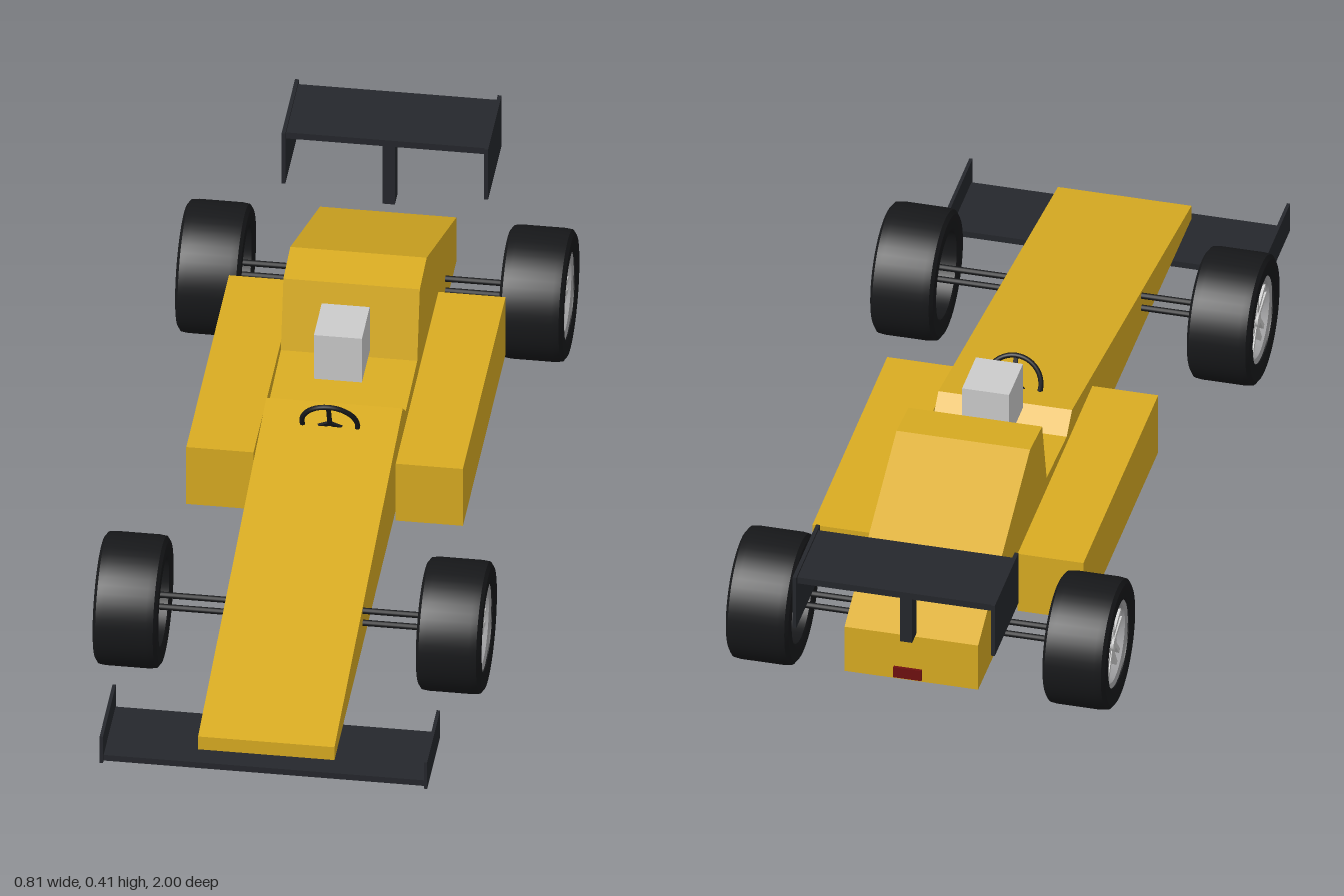
import * as THREE from 'three';
import { toCreasedNormals } from 'three/addons/utils/BufferGeometryUtils.js';

const mat = (color) => new THREE.MeshStandardMaterial({ color });

export function createModel() {
  const model = new THREE.Group();
  const yellow = mat(0xd9ac22), black = mat(0x17181a), wing = mat(0x25272c);
  const grey = mat(0xcccccc), red = mat(0x6e1010), rimGrey = mat(0xa4a4a6);

  const add = (parent, name, geometry, material, x = 0, y = 0, z = 0) => {
    const mesh = new THREE.Mesh(geometry, material);
    mesh.name = name;
    mesh.position.set(x, y, z);
    parent.add(mesh);
    return mesh;
  };
  // Box given by its limits on each axis
  const block = (name, material, [x0, x1], [y0, y1], [z0, z1]) =>
    add(model, name, new THREE.BoxGeometry(x1 - x0, y1 - y0, z1 - z0), material,
      (x0 + x1) / 2, (y0 + y1) / 2, (z0 + z1) / 2);

  // Body: side profile as [z, y], extruded across the width
  const profile = [[0.957, 0.07], [0.957, 0.102], [-0.055, 0.262], [-0.1, 0.225], [-0.27, 0.235],
    [-0.308, 0.388], [-0.41, 0.398], [-0.85, 0.2], [-0.85, 0.09], [-0.115, 0.08]];
  const shape = new THREE.Shape(profile.map(([z, y]) => new THREE.Vector2(z, y)));
  const bodyGeo = new THREE.ExtrudeGeometry(shape, { depth: 0.284, bevelEnabled: false });
  bodyGeo.translate(0, 0, -0.142).rotateY(-Math.PI / 2);
  add(model, 'body', bodyGeo, yellow);

  // Wings, rear wing post, tail light and head
  block('frontWing', wing, [-0.337, 0.337], [0.046, 0.06], [0.812, 0.99]);
  block('rearWing', wing, [-0.21, 0.21], [0.39, 0.405], [-0.99, -0.812]);
  block('rearWingPost', wing, [-0.013, 0.013], [0.215, 0.395], [-0.895, -0.857]);
  block('tailLight', red, [-0.03, 0.03], [0.115, 0.14], [-0.884, -0.878]);
  block('driverHead', grey, [-0.05, 0.05], [0.285, 0.394], [-0.221, -0.104]);

  // Steering wheel with three spokes, top leaning forward
  const steering = new THREE.Group();
  steering.name = 'steeringWheel';
  steering.position.set(0, 0.26, 0.016);
  steering.rotation.x = 0.38;
  add(steering, 'steeringRim', new THREE.TorusGeometry(0.058, 0.0055, 10, 40), black);
  for (let i = 0; i < 3; i++) {
    const spokeGeo = new THREE.BoxGeometry(0.009, 0.058, 0.006).translate(0, 0.029, 0);
    add(steering, 'steeringSpoke', spokeGeo, black).rotation.z = i * Math.PI * 2 / 3;
  }
  model.add(steering);

  // Wheel parts, axis along y with the outer face at +y
  const tyreProfile = [[0.093, -0.062], [0.1, -0.0665], [0.128, -0.0665], [0.137, -0.06], [0.139, -0.045],
    [0.139, 0.045], [0.137, 0.06], [0.128, 0.0665], [0.1, 0.0665], [0.093, 0.062], [0.093, -0.062]];
  const rimProfile = [[0, 0.034], [0.074, 0.034], [0.083, 0.056], [0.094, 0.06]].reverse();
  const lathe = (points) => toCreasedNormals(
    new THREE.LatheGeometry(points.map(([r, y]) => new THREE.Vector2(r, y)), 48), 0.6);
  const tyreGeo = lathe(tyreProfile), rimGeo = lathe(rimProfile);
  const backGeo = new THREE.CylinderGeometry(0.094, 0.094, 0.01, 48);
  const hubGeo = new THREE.CylinderGeometry(0.014, 0.018, 0.024, 20);
  const spokeGeo = new THREE.BoxGeometry(0.074, 0.012, 0.01).translate(0.047, 0, 0);

  const addWheel = (side, z, name) => {
    const wheel = new THREE.Group();
    wheel.name = name;
    wheel.position.set(side * 0.3365, 0.139, z);
    wheel.rotation.z = -side * Math.PI / 2;
    add(wheel, 'tyre', tyreGeo, black);
    add(wheel, 'rim', rimGeo, rimGrey);
    add(wheel, 'rimBack', backGeo, black, 0, 0.022);
    add(wheel, 'hub', hubGeo, grey, 0, 0.044);
    // Five pairs of spokes
    for (let i = 0; i < 5; i++) for (const s of [-1, 1]) {
      const arm = new THREE.Group();
      arm.rotation.y = i * Math.PI * 2 / 5;
      add(arm, 'spoke', spokeGeo, grey, 0, 0.045, s * 0.008).rotation.y = -s * 0.07;
      wheel.add(arm);
    }
    model.add(wheel);
  };

  // Mirrored parts
  const rodGeo = new THREE.CylinderGeometry(0.0065, 0.0065, 0.22, 12).rotateZ(Math.PI / 2);
  for (const side of [1, -1]) {
    const label = side > 0 ? 'left' : 'right';
    const span = (a, b) => (side > 0 ? [a, b] : [-b, -a]);
    block(label + 'SidePod', yellow, span(0.148, 0.288), [0.083, 0.225], [-0.54, 0.093]);
    block(label + 'FrontEndplate', wing, span(0.334, 0.341), [0.046, 0.112], [0.808, 1]);
    block(label + 'RearEndplate', wing, span(0.207, 0.215), [0.285, 0.41], [-1, -0.8]);
    for (const [end, z] of [['Front', 0.535], ['Rear', -0.688]]) {
      addWheel(side, z, label + end + 'Wheel');
      for (const y of [0.127, 0.157])
        add(model, label + end + 'SuspensionRod', rodGeo, black, side * 0.24, y, z);
    }
  }
  return model;
}
